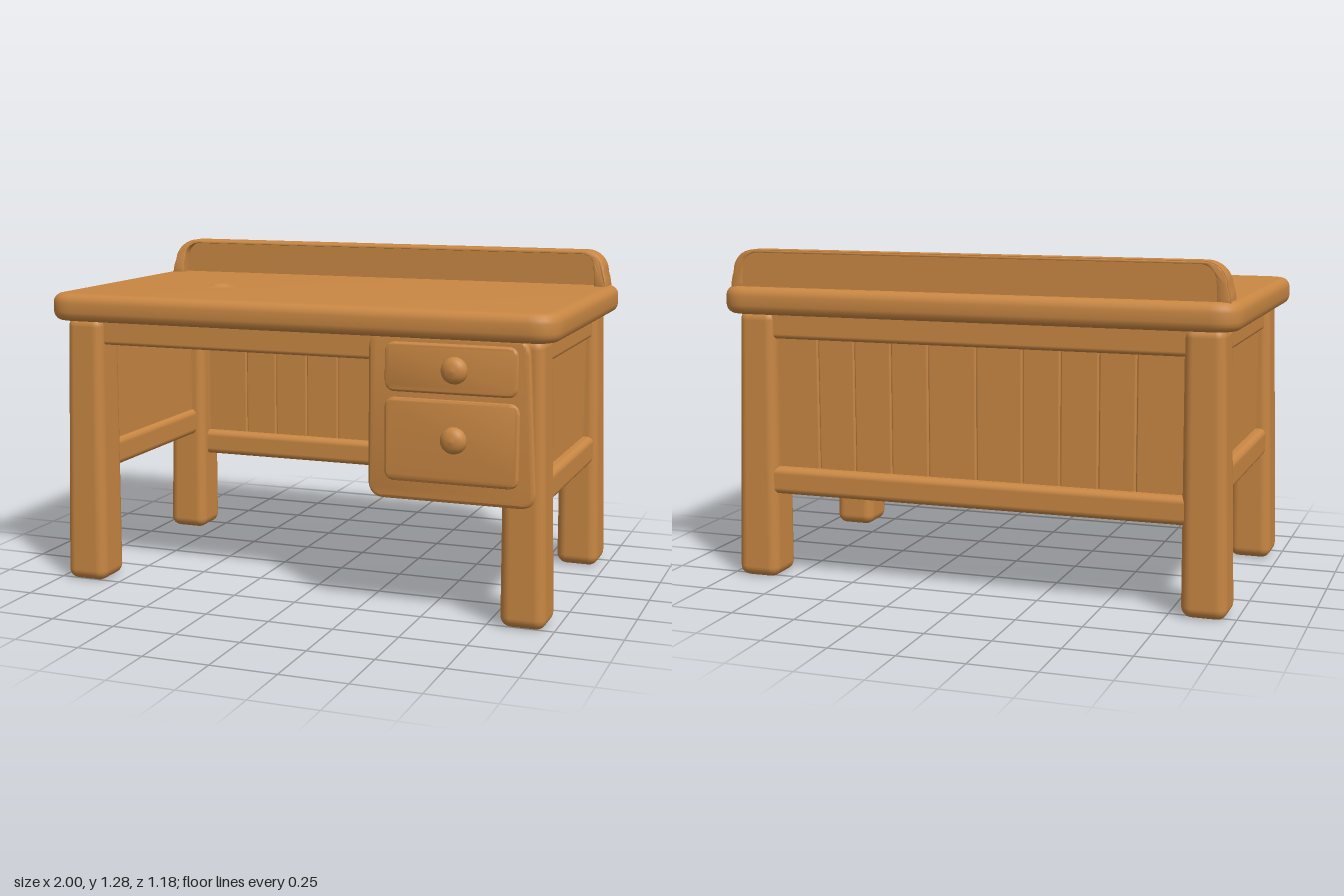
import * as THREE from 'three';
import { toCreasedNormals } from 'three/addons/utils/BufferGeometryUtils.js';
import { RoundedBoxGeometry } from 'three/addons/geometries/RoundedBoxGeometry.js';

const wood = new THREE.MeshStandardMaterial({ color: 0xc98743 });
wood.name = 'warm wood';

function add(parent, name, geometry, x = 0, y = 0, z = 0) {
  const mesh = new THREE.Mesh(geometry, wood);
  mesh.name = name;
  mesh.position.set(x, y, z);
  parent.add(mesh);
  return mesh;
}

// Soft-edged box given by its extents on each axis
function block(parent, name, [x0, x1], [y0, y1], [z0, z1], radius = 0.012) {
  const geo = new RoundedBoxGeometry(x1 - x0, y1 - y0, z1 - z0, 3, radius);
  return add(parent, name, geo, (x0 + x1) / 2, (y0 + y1) / 2, (z0 + z1) / 2);
}

// Move every vertex by a rule
function warp(geo, rule) {
  const p = geo.attributes.position;
  const v = new THREE.Vector3();
  for (let i = 0; i < p.count; i++) {
    rule(v.fromBufferAttribute(p, i));
    p.setXYZ(i, v.x, v.y, v.z);
  }
  return geo;
}

// Centred plate with rounded corners and bevelled edges, facing z
function slab(w, h, d, corner, bevel) {
  const a = w / 2 - bevel, b = h / 2 - bevel, c = corner;
  const s = new THREE.Shape();
  s.moveTo(-a + c, -b);
  s.lineTo(a - c, -b).quadraticCurveTo(a, -b, a, -b + c);
  s.lineTo(a, b - c).quadraticCurveTo(a, b, a - c, b);
  s.lineTo(-a + c, b).quadraticCurveTo(-a, b, -a, b - c);
  s.lineTo(-a, -b + c).quadraticCurveTo(-a, -b, -a + c, -b);
  const geo = new THREE.ExtrudeGeometry(s, {
    depth: d - 2 * bevel, bevelEnabled: true, bevelSize: bevel,
    bevelThickness: bevel, bevelSegments: 4, curveSegments: 8,
  });
  geo.translate(0, 0, -d / 2 + bevel);
  return geo;
}

// Outline of the low back rail, left foot to right foot
function arch(half, top, lean, r) {
  const base = 1.13, left = [];
  for (let i = 0; i <= 3; i++) {
    const t = i / 3;
    left.push(new THREE.Vector2(-half + lean * t * t, base + (top - r - base) * t));
  }
  for (let i = 1; i <= 8; i++) {
    const a = (i / 8) * Math.PI / 2;
    left.push(new THREE.Vector2(-half + lean + r * (1 - Math.cos(a)), top - r + r * Math.sin(a)));
  }
  const right = left.map((p) => new THREE.Vector2(-p.x, p.y)).reverse();
  return [...left, ...right];
}

export function createModel() {
  const desk = new THREE.Group();
  desk.name = 'desk';

  // Tabletop
  const top = slab(2, 1.165, 0.105, 0.07, 0.035);
  top.rotateX(-Math.PI / 2);
  add(desk, 'tabletop', toCreasedNormals(top, 0.8), 0, 1.0875, -0.0075);

  // Small raised boss with a soft ring on the tabletop
  const boss = [[0.075, 0], [0.06, 0.003], [0.045, 0.002], [0.037, 0.008], [0.022, 0.013], [0, 0.014]];
  add(desk, 'tabletopBoss', new THREE.LatheGeometry(boss.map(([x, y]) => new THREE.Vector2(x, y)), 28), -0.49, 1.139, 0.08);

  // Four legs, narrowing upward and leaning in on the outside
  for (const sx of [-1, 1]) {
    for (const sz of [-1, 1]) {
      const geo = new RoundedBoxGeometry(0.17, 1.05, 0.178, 4, 0.04);
      warp(geo, (v) => {
        const t = (v.y + 0.525) / 1.05;
        v.x = v.x * (1 - 0.14 * t) - sx * 0.017 * t;
        v.z = v.z * (1 - 0.08 * t) - sz * 0.003 * t;
      });
      add(desk, sz > 0 ? 'frontLeg' : 'backLeg', geo, sx * 0.885, 0.525, sz > 0 ? 0.44 : -0.462);
    }
  }

  // Side panels with their upper and lower rails
  for (const s of [-1, 1]) {
    const span = (a, b) => (s > 0 ? [a, b] : [-b, -a]);
    block(desk, 'sidePanel', span(0.85, 0.9), [0.5, 1.04], [-0.42, 0.4], 0.005);
    block(desk, 'sideUpperRail', span(0.84, 0.922), [0.94, 1.05], [-0.42, 0.4], 0.018);
    block(desk, 'sideLowerRail', span(0.83, 0.94), [0.43, 0.54], [-0.42, 0.4], 0.025);
  }

  // Back rails and front apron
  block(desk, 'backUpperRail', [-0.84, 0.84], [0.94, 1.05], [-0.525, -0.43], 0.018);
  block(desk, 'backLowerRail', [-0.84, 0.84], [0.335, 0.44], [-0.535, -0.42], 0.025);
  block(desk, 'frontApron', [-0.84, 0.34], [0.94, 1.05], [0.4, 0.485], 0.015);

  // Back panel of upright planks
  const seams = [-0.82, -0.62, -0.48, -0.335, -0.19, -0.01, 0.18, 0.33, 0.48, 0.63, 0.82];
  for (let i = 0; i < seams.length - 1; i++) {
    block(desk, 'backPlank', [seams[i] + 0.001, seams[i + 1] - 0.001], [0.4, 0.98], [-0.495, -0.455], 0.007);
  }
  block(desk, 'backPanelCore', [-0.82, 0.82], [0.41, 0.97], [-0.485, -0.465], 0.002);

  // Drawer unit: carcass and face plate, its outer edge following the leg
  block(desk, 'drawerCarcass', [0.32, 0.86], [0.445, 1.04], [-0.46, 0.5], 0.012);
  const face = slab(0.615, 0.605, 0.075, 0.05, 0.012);
  warp(face, (v) => { if (v.x > 0) v.x += 0.01 - 0.035 * (v.y + 0.3) / 0.605; });
  add(desk, 'drawerFacePlate', toCreasedNormals(face, 0.8), 0.613, 0.7475, 0.5);

  // Drawers with round knobs
  const knob = [[0.022, -0.005], [0.026, 0.004], [0.043, 0.006], [0.049, 0.016], [0.047, 0.027],
    [0.038, 0.039], [0.022, 0.047], [0, 0.05]].map(([x, y]) => new THREE.Vector2(x, y));
  for (const [x0, x1, y0, y1, ky] of [[0.37, 0.86, 0.84, 1.02, 0.93], [0.37, 0.868, 0.515, 0.82, 0.68]]) {
    const front = slab(x1 - x0, y1 - y0, 0.04, 0.03, 0.01);
    add(desk, 'drawerFront', toCreasedNormals(front, 0.8), (x0 + x1) / 2, (y0 + y1) / 2, 0.528);
    const k = new THREE.LatheGeometry(knob, 28);
    k.rotateX(Math.PI / 2);
    add(desk, 'drawerKnob', k, 0.635, ky, 0.545);
  }

  // Low back rail: flat board plus a rim whose ends sweep forward at the foot
  const outer = arch(0.962, 1.28, 0.012, 0.085);
  const inner = arch(0.912, 1.266, 0.005, 0.055);
  const board = new THREE.ExtrudeGeometry(new THREE.Shape(outer), { depth: 0.05, bevelEnabled: false });
  add(desk, 'backBoard', toCreasedNormals(board, 0.8), 0, 0, -0.548);
  const rim = new THREE.ExtrudeGeometry(new THREE.Shape([...outer, ...inner.reverse()]), {
    depth: 0.065, bevelEnabled: true, bevelSize: 0.005, bevelOffset: -0.005,
    bevelThickness: 0.006, bevelSegments: 2,
  });
  warp(rim, (v) => {
    const t = THREE.MathUtils.clamp((v.y - 1.13) / 0.15, 0, 1);
    if (v.z > 0.03) v.z += 0.035 * (1 - t * t);
  });
  add(desk, 'backBoardRim', toCreasedNormals(rim, 0.8), 0, 0, -0.543);

  return desk;
}
